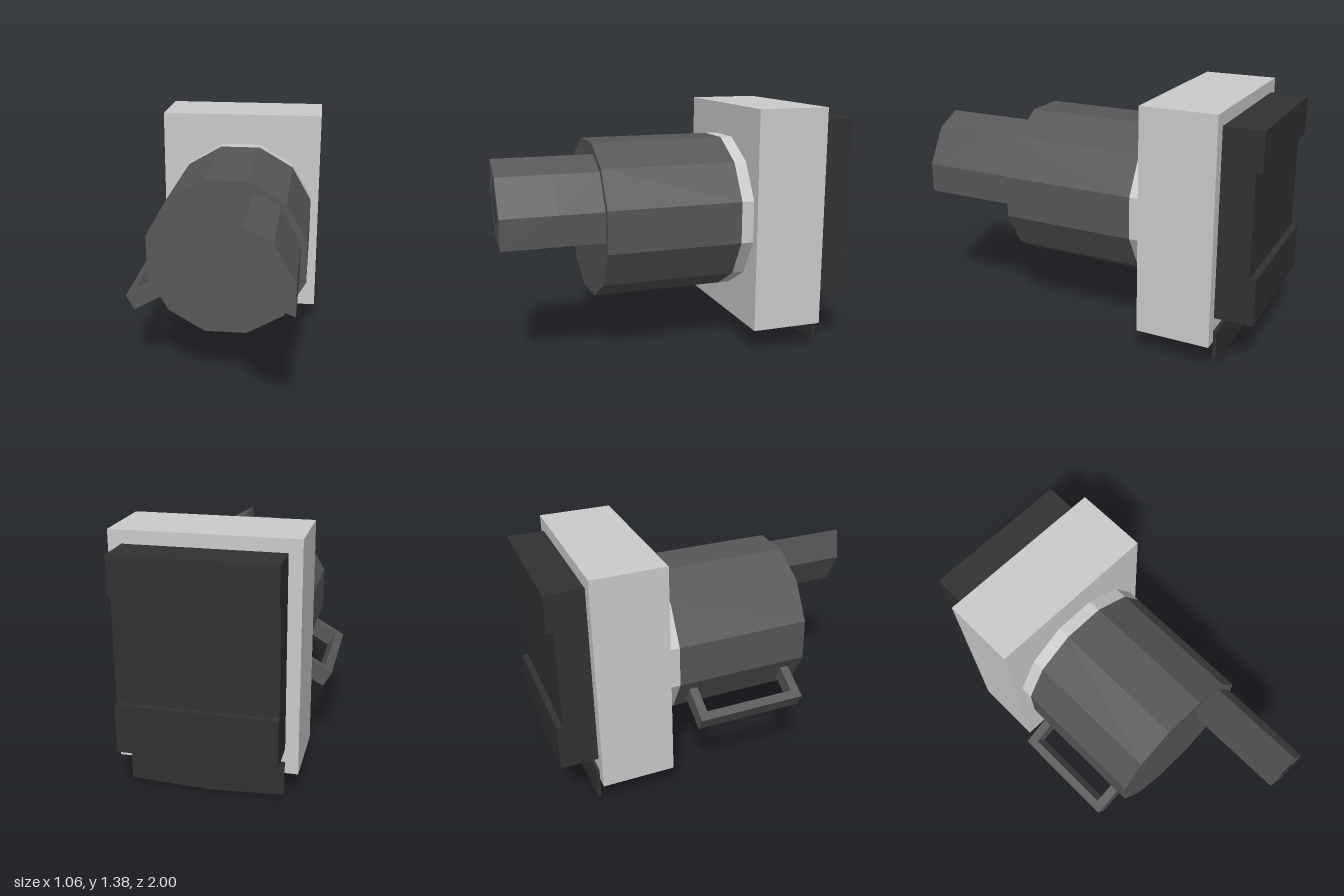
import * as THREE from 'three';

const CX = 0.047; // middle of the body in x
const CY = 0.76; // height of the barrel axis

const paint = (color) => new THREE.MeshStandardMaterial({ color, flatShading: true });
const pale = paint(0xcccccc);
const grey = paint(0x575757);
const dark = paint(0x323232);

function add(parent, name, geometry, material, x = 0, y = 0, z = 0) {
  const mesh = new THREE.Mesh(geometry, material);
  mesh.name = name;
  mesh.position.set(x, y, z);
  parent.add(mesh);
  return mesh;
}

const points = (list) => list.map(([x, y]) => new THREE.Vector2(x, y));
const extrude = (shape, depth) => new THREE.ExtrudeGeometry(shape, { depth, bevelEnabled: false });

// Twelve-sided drum along z, with a flat on top
function drum(z0, z1) {
  const g = new THREE.CylinderGeometry(0.45, 0.45, z1 - z0, 12, 1, false, Math.PI / 12);
  return g.rotateX(Math.PI / 2).translate(0, 0, (z0 + z1) / 2);
}

export function createModel() {
  const model = new THREE.Group();
  model.name = 'model';

  // Housing plate and the drum in front of it
  add(model, 'housing', new THREE.BoxGeometry(0.965, 1.24, 0.41), pale, CX, 0.76, -0.585);
  add(model, 'collar', drum(-0.38, -0.31), pale, CX, CY);
  add(model, 'drum', drum(-0.31, 0.45), grey, CX, CY);

  // Six-sided nozzle, off centre, with a recessed bore
  const outer = points([[0.19, 1.135], [0.335, 1.06], [0.445, 0.865], [0.445, 0.7], [0.275, 0.765], [0.165, 0.955]]);
  const inner = points([[0.25, 1.015], [0.31, 0.995], [0.38, 0.875], [0.37, 0.81], [0.3, 0.83], [0.23, 0.945]]);
  const tube = new THREE.Shape(outer);
  tube.holes.push(new THREE.Path(inner));
  add(model, 'nozzle', extrude(tube, 0.3), grey, 0, 0, 0.7);
  add(model, 'nozzleBase', extrude(new THREE.Shape(outer), 0.25), grey, 0, 0, 0.45);

  // Handle standing out from the lower side of the drum; local x is radial
  const handle = new THREE.Group();
  handle.name = 'handle';
  handle.position.set(CX, CY, 0.065);
  handle.rotation.z = Math.PI * 7 / 6;
  add(handle, 'handleGrip', new THREE.BoxGeometry(0.05, 0.095, 0.62), grey, 0.615);
  for (const s of [-1, 1]) {
    add(handle, 'handlePost', new THREE.BoxGeometry(0.17, 0.095, 0.05), grey, 0.505, 0, s * 0.285);
  }
  model.add(handle);

  // Back pack: a side profile (z, y) with a shallow notch, swept across x
  const pack = new THREE.Shape(points([
    [0.79, 0.28], [1, 0.28], [1, 0.54], [0.965, 0.54],
    [0.965, 1.1], [1, 1.1], [1, 1.31], [0.79, 1.31],
  ]));
  const packGeometry = extrude(pack, 0.825).translate(0, 0, -0.4125).rotateY(Math.PI / 2);
  add(model, 'backPack', packGeometry, dark, CX);

  // Thin flap with a slightly pointed lower edge
  const flap = new THREE.Shape(points([[-0.365, 0.205], [-0.365, 0.02], [CX, 0], [0.46, 0.02], [0.46, 0.205]]));
  add(model, 'flap', extrude(flap, 0.018), dark, 0, 0, -0.808);

  return model;
}
